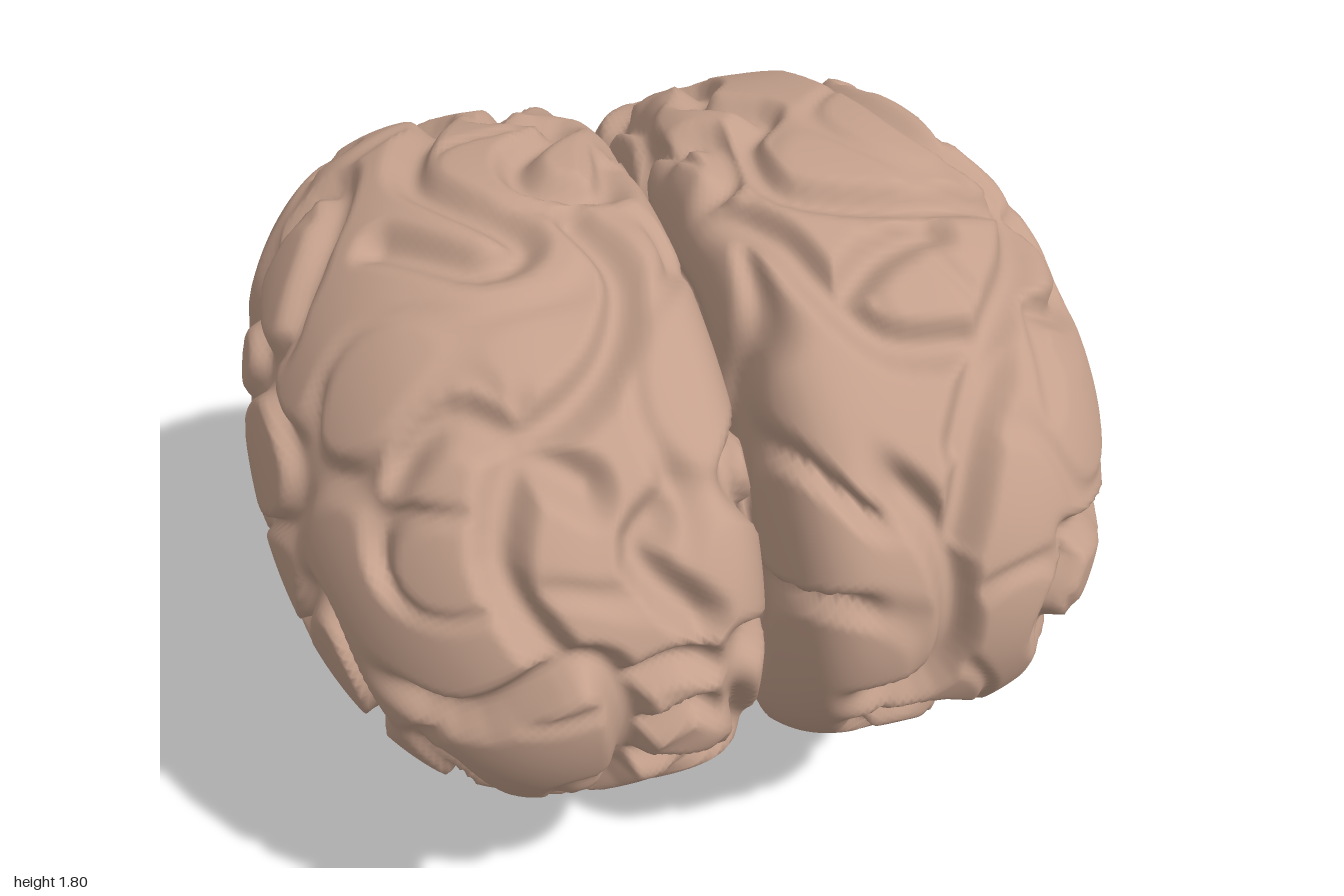
import * as THREE from 'three';
import { mergeVertices } from 'three/addons/utils/BufferGeometryUtils.js';

const material = new THREE.MeshStandardMaterial({ color: 0xc4a08c, roughness: 0.7 });

// Main grooves, drawn as point lists on a plane: lateral side [z, y], top [x, z], front [x, y]
const sideGrooves = [
  [.97, 1.27, .9, 1.2, .8, 1.16, .65, 1.09, .4, 1.08, .2, 1.06, 0, 1.08, -.15, 1.05],
  [.93, .9, .8, .83, .65, .8, .45, .76, .25, .78, .15, .7, .2, .58],
  [.2, 1.3, .15, 1.45, 0, 1.57, -.1, 1.5, -.15, 1.35, -.2, 1.2, 0, 1.16, .18, 1.24],
  [-.1, 1.5, -.25, 1.45, -.4, 1.4, -.48, 1.22, -.4, 1.13, -.2, 1.12],
  [-.5, 1.6, -.6, 1.45, -.65, 1.3, -.8, 1.2, -.85, 1.05, -.75, .85, -.6, .65],
  [-.5, 1.35, -.6, 1.2, -.6, 1, -.5, .8, -.4, .55],
  [.1, 1, -.1, .92, -.4, .88, -.5, .8],
  [.05, .86, -.1, .72, -.3, .68, -.42, .75],
  [.8, 1.5, .6, 1.6, .5, 1.52, .35, 1.48, .2, 1.6],
  [0, 1.64, -.12, 1.55, -.3, 1.56, -.44, 1.6],
  [.48, 1.3, .44, 1.28, .39, 1.29],
];
const topLeftGrooves = [
  [.08, -.62, .25, -.6, .25, -.45, .18, -.3, .3, -.15, .2, 0, .22, .22, .5, .32, .75, .25],
  [.5, -.72, .62, -.65, .55, -.45, .6, -.1, .65, .05, .78, .2, .7, .45, .55, .65, .4, .85],
  [.05, .2, .15, .35, .2, .5, .3, .65, .5, .68],
  [.65, -.4, .8, -.3, .75, -.05],
  [.12, -.85, .3, -.75, .55, -.85],
  [.5, .4, .35, .45, .22, .55],
  [.03, -.1, .14, -.08, .13, .1, .04, .15],
];
const topRightGrooves = [
  [-.5, -.68, -.4, -.55, -.5, -.3, -.55, -.1, -.5, .05, -.38, .25, -.5, .3, -.67, .1],
  [-.25, -.85, -.2, -.6, -.3, -.4, -.15, -.3, -.3, -.1, -.3, .05, -.15, .1, -.08, -.1],
  [-.9, -.3, -.7, -.32, -.75, -.1, -.9, .1],
  [-.88, .65, -.65, .6, -.5, .7, -.3, .6, -.2, .4, -.25, .2],
  [-.6, .85, -.52, .74, -.4, .8],
  [-.68, -.55, -.65, -.52],
];
const frontRightGrooves = [
  [-.88, 1.05, -.7, 1.05, -.5, 1.2, -.4, 1.15, -.36, .95, -.4, .75, -.6, .65, -.76, .85],
  [-.5, 1.2, -.6, 1.4, -.5, 1.62],
  [-.38, 1.13, -.25, 1.16, -.12, 1.1],
  [-.33, .98, -.22, 1.02, -.15, .98],
  [-.38, .85, -.18, .8, -.08, .9],
  [-.2, 1.7, -.2, 1.5, -.32, 1.4, -.2, 1.25],
];
const frontLeftGrooves = [
  [.06, 1.55, .3, 1.35, .35, 1.1, .3, .95, .12, .9],
  [.6, 1.62, .45, 1.5, .35, 1.3],
  [.65, 1.15, .6, 1, .75, .85, .92, .95],
  [.08, .75, .3, .8, .45, .7, .6, .5],
];

function tracePoints(list) {
  const pts = [];
  for (let i = 0; i < list.length; i += 2) pts.push(new THREE.Vector2(list[i], list[i + 1]));
  return new THREE.SplineCurve(pts).getPoints(pts.length * 4);
}

// Shortest distance from (x, y) to a set of sampled lines
function lineDistance(lines, x, y) {
  let best = 1;
  for (const line of lines) {
    for (let i = 1; i < line.length; i++) {
      const a = line[i - 1], dx = line[i].x - a.x, dy = line[i].y - a.y;
      const t = THREE.MathUtils.clamp(((x - a.x) * dx + (y - a.y) * dy) / (dx * dx + dy * dy + 1e-9), 0, 1);
      best = Math.min(best, Math.hypot(x - a.x - t * dx, y - a.y - t * dy));
    }
  }
  return best;
}

// Random waves of one wavelength: their zero lines form winding grooves
function windingField(seed, frequency) {
  const rand = () => (seed = (seed * 16807) % 2147483647) / 2147483647;
  const waves = [];
  for (let i = 0; i < 14; i++) {
    const h = rand() * 2 - 1, a = rand() * Math.PI * 2, r = Math.sqrt(1 - h * h);
    waves.push([r * Math.cos(a) * frequency, h * frequency, r * Math.sin(a) * frequency, rand() * 6.28]);
  }
  return (x, y, z) => {
    let sum = 0;
    for (const w of waves) sum += Math.sin(w[0] * x + w[1] * y + w[2] * z + w[3]);
    return sum * Math.sqrt(2 / waves.length);
  };
}

// Fold profile: soft valley, steep wall, level crest
const groove = (d, width) => 1 - THREE.MathUtils.smoothstep(d, 0.005, width);

function hemisphere(side, seed, views) {
  let geo = new THREE.IcosahedronGeometry(1, 54);
  geo.deleteAttribute('uv');
  geo.deleteAttribute('normal');
  geo = mergeVertices(geo, 1e-4);
  const field = windingField(seed, 15);
  const traced = views.map(([axis, lists]) => [axis, lists.map(tracePoints)]);
  const pos = geo.attributes.position, u = new THREE.Vector3(), n = new THREE.Vector3();
  const p = new THREE.Vector3();
  for (let i = 0; i < pos.count; i++) {
    u.fromBufferAttribute(pos, i).normalize();
    const lateral = u.x * side, inner = lateral < 0;
    // Round outside, flattened towards the midline
    const power = inner ? 6 : 2.14;
    const r = (Math.abs(lateral) ** power + Math.hypot(u.y, u.z) ** power) ** (-1 / power);
    const half = inner ? 0.417 : 0.577;
    const place = (k) => p.set(side * 0.42 + u.x * half * k, 1.09 + u.y * 0.71 * k, u.z * k);
    place(r);
    n.set(u.x / half, u.y / 0.71, u.z).normalize();

    let cut = 0, cover = 0;
    for (const [axis, lines] of traced) {
      const facing = axis === 'side' ? n.x * side : axis === 'top' ? n.y : n.z;
      const w = THREE.MathUtils.smoothstep(facing, 0.42, 0.62);
      if (w === 0) continue;
      const d = axis === 'side' ? lineDistance(lines, p.z, p.y)
        : axis === 'top' ? lineDistance(lines, p.x, p.z) : lineDistance(lines, p.x, p.y);
      cut = Math.max(cut, w * groove(d, 0.068));
      cover = Math.max(cover, w);
    }
    const wild = groove(Math.abs(field(p.x, p.y, p.z)) / 9.5, 0.06);
    cut = Math.max(cut, wild * (1 - 0.78 * cover));
    place(r * (1 - 0.07 * cut));
    pos.setXYZ(i, p.x, p.y, p.z);
  }
  geo.computeVertexNormals();
  return new THREE.Mesh(geo, material);
}

// Ringed ball with evenly stacked horizontal ridges
function cerebellumLobe(side) {
  const profile = [], steps = 112, ridges = 8;
  for (let i = 0; i <= steps; i++) {
    const a = (i / steps - 0.5) * Math.PI, h = Math.sin(a);
    const k = 0.94 + 0.06 * Math.abs(Math.sin((h + 1) / 2 * ridges * Math.PI)) ** 0.7;
    profile.push(new THREE.Vector2(Math.max(0, Math.cos(a)) ** 0.88 * k, h * (0.8 + 0.2 * k)));
  }
  const mesh = new THREE.Mesh(new THREE.LatheGeometry(profile, 48), material);
  mesh.scale.set(0.31, 0.25, 0.375);
  mesh.position.set(side * 0.29, 0.495, -0.59);
  return mesh;
}

export function createModel() {
  const group = new THREE.Group();
  const add = (mesh, name) => { mesh.name = name; group.add(mesh); };

  add(hemisphere(1, 4271, [['side', sideGrooves], ['top', topLeftGrooves], ['front', frontLeftGrooves]]), 'leftHemisphere');
  add(hemisphere(-1, 9533, [['top', topRightGrooves], ['front', frontRightGrooves]]), 'rightHemisphere');
  add(cerebellumLobe(1), 'leftCerebellum');
  add(cerebellumLobe(-1), 'rightCerebellum');

  // Brain stem, leaning back towards the top
  const stem = new THREE.Mesh(new THREE.SphereGeometry(1, 40, 28), material);
  stem.scale.set(0.16, 0.32, 0.2);
  stem.rotation.x = -0.28;
  stem.position.set(0, 0.313, -0.345);
  add(stem, 'brainStem');
  return group;
}
